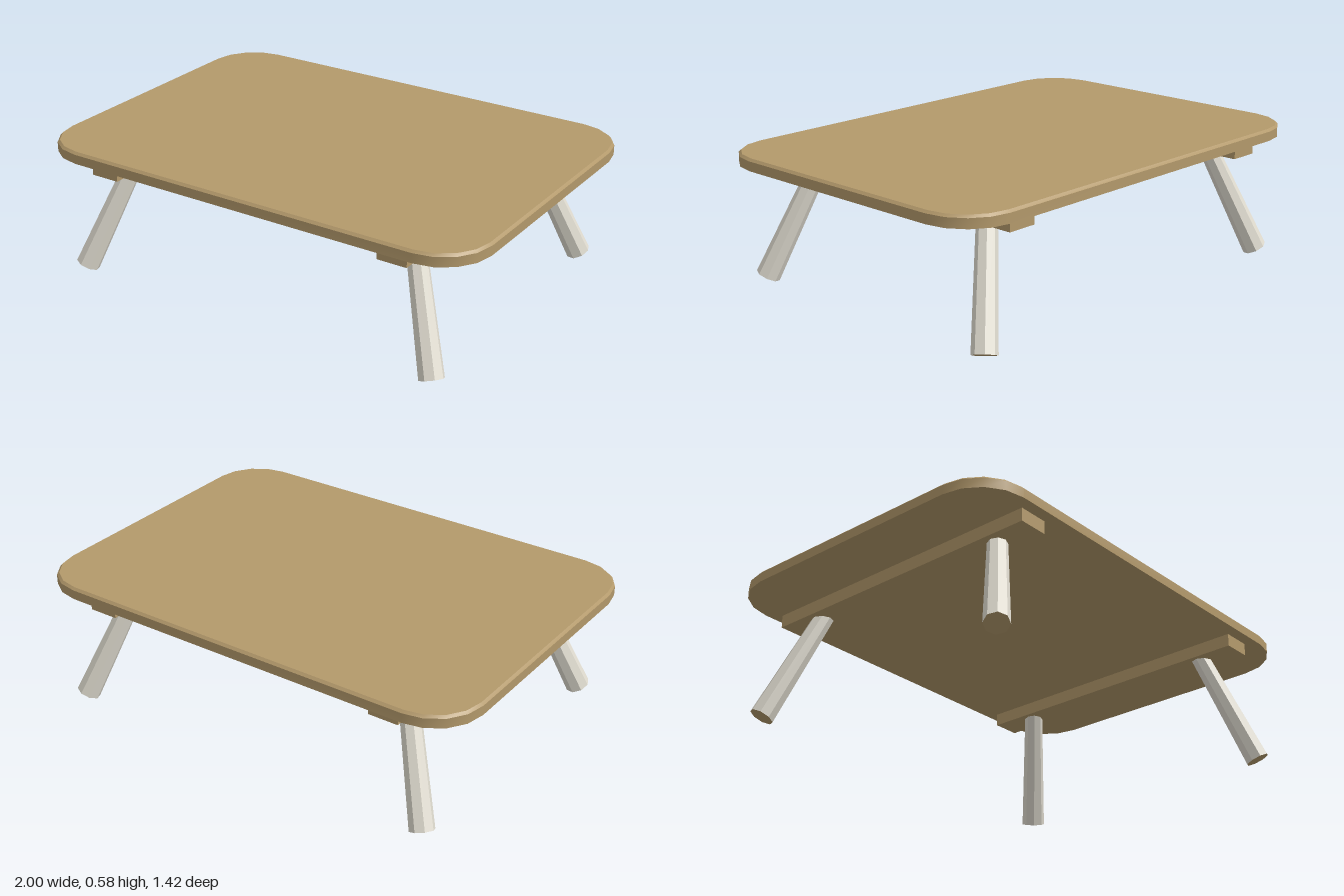
import * as THREE from 'three';
import { toCreasedNormals } from 'three/addons/utils/BufferGeometryUtils.js';

const HALF_X = 1, HALF_Z = 0.71, CORNER = 0.21, CORNER_STEPS = 4;

// Rounded rectangle outline, pulled in by inset, at height y
function outline(inset, y) {
  const points = [];
  const r = CORNER - inset;
  const centres = [[1, 1], [-1, 1], [-1, -1], [1, -1]];
  centres.forEach(([sx, sz], corner) => {
    for (let i = 0; i <= CORNER_STEPS; i++) {
      const a = (corner + i / CORNER_STEPS) * Math.PI / 2;
      points.push([
        sx * (HALF_X - CORNER) + r * Math.cos(a), y,
        sz * (HALF_Z - CORNER) + r * Math.sin(a),
      ]);
    }
  });
  return points;
}

// Slab with a small chamfer round its upper edge
function slabGeometry() {
  const loops = [outline(0, 0.525), outline(0, 0.565), outline(0.01, 0.575)];
  const n = loops[0].length;
  const index = [];
  for (let l = 0; l < loops.length - 1; l++) {
    for (let i = 0; i < n; i++) {
      const j = (i + 1) % n;
      const a = l * n + i, b = l * n + j;
      index.push(a, a + n, b, b, a + n, b + n);
    }
  }
  const last = (loops.length - 1) * n;
  for (let i = 1; i < n - 1; i++) {
    index.push(0, i, i + 1);
    index.push(last, last + i + 1, last + i);
  }
  const geometry = new THREE.BufferGeometry();
  geometry.setAttribute('position', new THREE.Float32BufferAttribute(loops.flat(2), 3));
  geometry.setIndex(index);
  return toCreasedNormals(geometry, 0.5);
}

export function createModel() {
  const wood = new THREE.MeshStandardMaterial({ color: 0xb3996b });
  const paint = new THREE.MeshStandardMaterial({ color: 0xe0dcd0 });
  const table = new THREE.Group();
  table.name = 'table';

  const top = new THREE.Mesh(slabGeometry(), wood);
  top.name = 'tableTop';
  table.add(top);

  // Rails under the top, one at each end
  for (const sx of [-1, 1]) {
    const rail = new THREE.Mesh(new THREE.BoxGeometry(0.128, 0.055, 1.32), wood);
    rail.name = sx > 0 ? 'leftRail' : 'rightRail';
    rail.position.set(sx * 0.679, 0.4975, 0);
    table.add(rail);
  }

  // Splayed, tapered eight-sided legs: painted sides, bare wood ends
  for (const sx of [-1, 1]) {
    for (const sz of [-1, 1]) {
      const foot = new THREE.Vector3(sx * 0.84, 0.022, sz * 0.626);
      const head = new THREE.Vector3(sx * 0.665, 0.5, sz * 0.472);
      const axis = head.clone().sub(foot);
      const geometry = new THREE.CylinderGeometry(0.04, 0.051, axis.length(), 8).toNonIndexed();
      geometry.computeVertexNormals();
      const leg = new THREE.Mesh(geometry, [paint, wood, wood]);
      leg.name = (sz > 0 ? 'front' : 'back') + (sx > 0 ? 'Left' : 'Right') + 'Leg';
      leg.position.copy(foot).add(head).multiplyScalar(0.5);
      leg.quaternion.setFromUnitVectors(new THREE.Vector3(0, 1, 0), axis.normalize());
      table.add(leg);
    }
  }
  return table;
}
